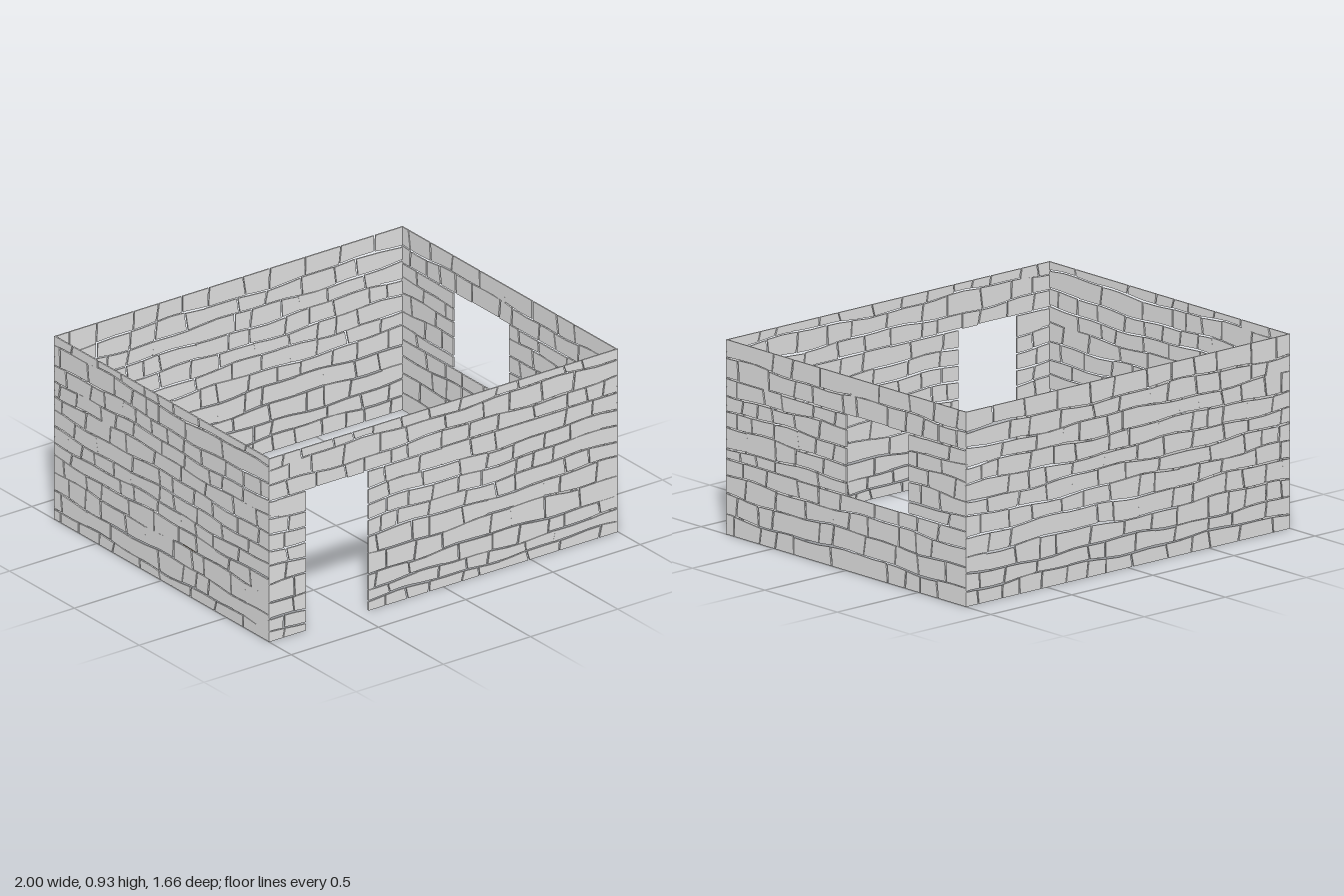
import * as THREE from 'three';

const stone = new THREE.MeshStandardMaterial({ color: 0xe7e7e7 });
stone.name = 'paleStone';
const bark = new THREE.MeshStandardMaterial({ color: 0x3b3020 });
bark.name = 'darkWood';

const THICK = 0.007;

// small seeded generator
function seeded(seed) {
  let s = seed;
  return () => {
    s = (s * 16807) % 2147483647;
    return s / 2147483647;
  };
}

// One thin masonry wall in the local xy plane, with an optional opening
function makeWall(name, length, rows, opening, seed) {
  const rnd = seeded(seed);
  const half = length / 2;
  const last = rows.length - 1;
  const phase = rows.map(() => rnd() * 6.28);
  // Wavy bed joints; straight at the wall ends and at the opening
  const bed = (i, u) => {
    const y = rows[i];
    const straight = i === 0 || i === last || (opening && (y === opening.y0 || y === opening.y1));
    return straight ? y : y + 0.008 * Math.sin(u * 6 + phase[i]) + 0.004 * Math.sin(u * 17 + phase[i] * 2);
  };
  const shapes = [];
  const layRow = (i, from, to) => {
    const cuts = [from];
    let u = from + 0.04 + rnd() * 0.12;
    while (u < to - 0.06) {
      cuts.push(u);
      u += 0.09 + rnd() * 0.13;
    }
    cuts.push(to);
    const isEnd = (k) => k === 0 || k === cuts.length - 1;
    const lean = cuts.map((c, k) => (isEnd(k) ? 0 : (rnd() - 0.5) * 0.016));
    // Some stones touch, others leave an open joint
    const side = cuts.map((c, k) => (isEnd(k) || rnd() < 0.12 ? 0 : 0.0025 + rnd() * 0.0025));
    for (let k = 0; k < cuts.length - 1; k++) {
      const l = cuts[k] + side[k], r = cuts[k + 1] - side[k + 1];
      const gap = () => (rnd() < 0.15 ? 0 : 0.002 + rnd() * 0.004);
      const low = i === 0 ? 0 : gap();
      const high = i === last - 1 ? 0 : gap();
      const m = (l + r) / 2;
      shapes.push(new THREE.Shape([
        [l - lean[k], bed(i, l) + low],
        [m, bed(i, m) + low],
        [r - lean[k + 1], bed(i, r) + low],
        [r + lean[k + 1], bed(i + 1, r) - high],
        [m, bed(i + 1, m) - high],
        [l + lean[k], bed(i + 1, l) - high],
      ].map(([x, y]) => new THREE.Vector2(x, y))));
    }
  };
  for (let i = 0; i < last; i++) {
    const mid = (rows[i] + rows[i + 1]) / 2;
    if (opening && mid > opening.y0 && mid < opening.y1) {
      layRow(i, -half, opening.u0);
      layRow(i, opening.u1, half);
    } else {
      layRow(i, -half, half);
    }
  }
  const geo = new THREE.ExtrudeGeometry(shapes, { depth: THICK, bevelEnabled: false });
  geo.translate(0, 0, -THICK / 2);
  const wall = new THREE.Mesh(geo, stone);
  wall.name = name;
  return wall;
}

function plank(parent, name, size, pos, rot, material) {
  const mesh = new THREE.Mesh(new THREE.BoxGeometry(...size), material);
  mesh.position.set(...pos);
  mesh.rotation.set(...rot);
  mesh.name = name;
  parent.add(mesh);
}

export function createModel() {
  const model = new THREE.Group();
  model.name = 'stoneRoom';

  // Courses differ from wall to wall so that opposite joints do not line up
  const frontRows = [0, 0.05, 0.11, 0.19, 0.29, 0.38, 0.46, 0.54, 0.62, 0.71, 0.79, 0.88, 0.93];
  const backRows = [0, 0.075, 0.15, 0.24, 0.335, 0.42, 0.5, 0.58, 0.665, 0.75, 0.835, 0.93];
  const leftRows = [0, 0.09, 0.19, 0.28, 0.36, 0.42, 0.51, 0.59, 0.67, 0.745, 0.84, 0.93];
  const rightRows = [0, 0.05, 0.14, 0.235, 0.32, 0.39, 0.465, 0.55, 0.635, 0.71, 0.79, 0.885, 0.93];
  const door = { u0: -0.79, u1: -0.43, y0: 0, y1: 0.71 };
  const window = { u0: 0, u1: 0.43, y0: 0.36, y1: 0.745 };

  // Four walls
  const front = makeWall('frontWall', 2, frontRows, door, 11);
  front.position.z = 0.826;
  const back = makeWall('backWall', 2, backRows, null, 257);
  back.position.z = -0.826;
  const left = makeWall('leftWall', 1.66, leftRows, window, 4099);
  left.position.x = 0.995;
  left.rotation.y = Math.PI / 2;
  const right = makeWall('rightWall', 1.66, rightRows, null, 70001);
  right.position.x = -0.995;
  right.rotation.y = -Math.PI / 2;
  model.add(front, back, left, right);

  // Uneven stack of pale slats beside the right wall, highest at the back
  const slats = new THREE.Group();
  slats.name = 'slatStack';
  const columns = [
    { x0: -0.915, x1: -0.755, z: -0.385, layers: 5 },
    { x0: -0.915, x1: -0.75, z: -0.357, layers: 5 },
    { x0: -0.905, x1: -0.745, z: -0.329, layers: 4 },
    { x0: -0.89, x1: -0.76, z: -0.301, layers: 4 },
    { x0: -0.885, x1: -0.765, z: -0.273, layers: 3 },
  ];
  columns.forEach(({ x0, x1, z, layers }, c) => {
    for (let j = 0; j < layers; j++) {
      const shift = ((c + j) % 3 - 1) * 0.004;
      plank(slats, 'slat', [x1 - x0, 0.016, 0.026],
        [(x0 + x1) / 2 + shift, 0.09 + j * 0.022, z], [0.12, 0, 0], stone);
    }
  });
  model.add(slats);

  // Small pile of dark boards
  const boards = new THREE.Group();
  boards.name = 'darkBoards';
  [-0.883, -0.856, -0.83, -0.803].forEach((x, i) => {
    plank(boards, 'darkBoard', [0.026, 0.01, 0.1], [x, 0.1 + (i % 2) * 0.006, -0.025 - (i % 2) * 0.006],
      [0, i * -0.06, 0.08], bark);
  });
  model.add(boards);

  return model;
}
